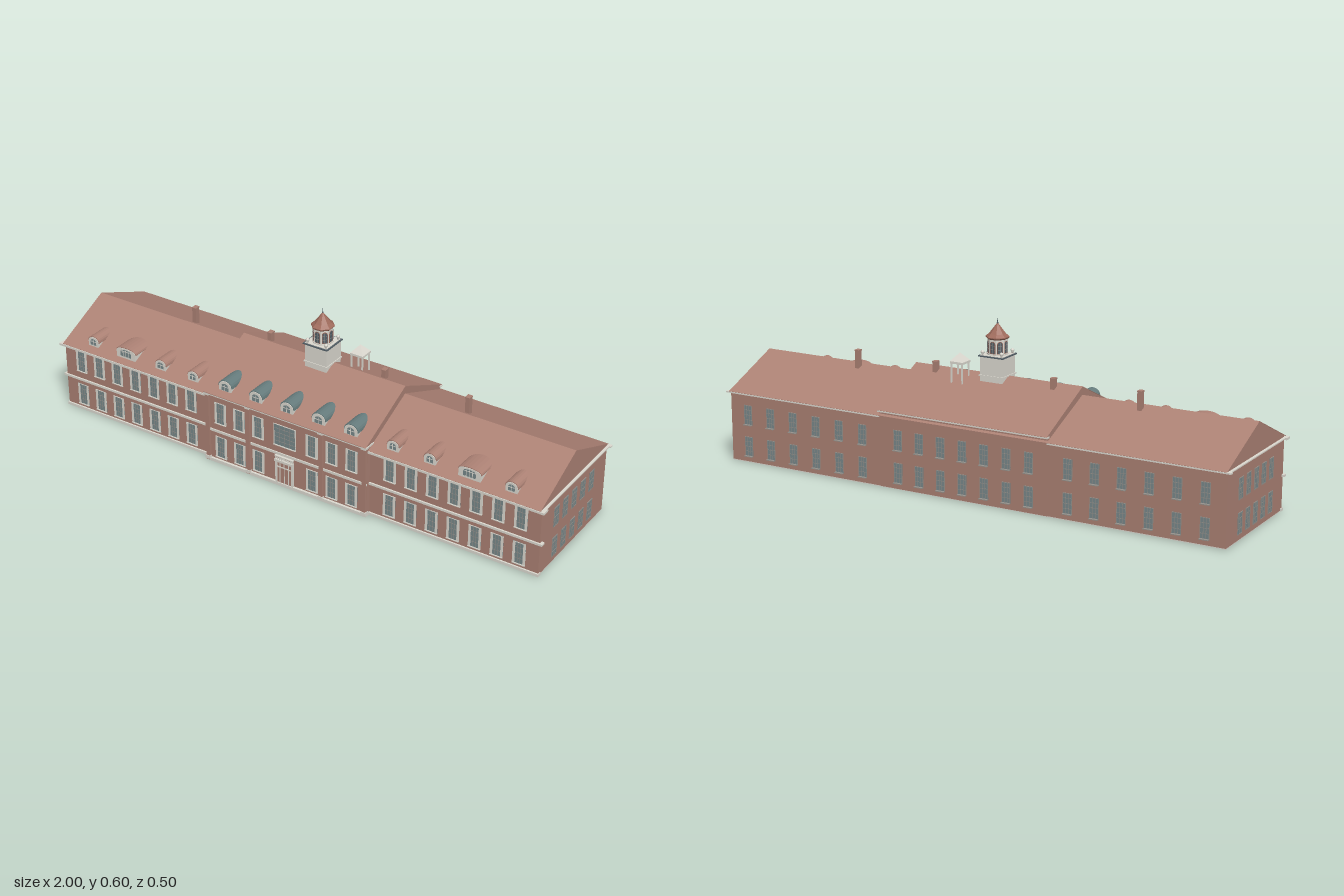
import * as THREE from 'three';
import { mergeGeometries } from 'three/addons/utils/BufferGeometryUtils.js';

const mat = (name, color) => Object.assign(new THREE.MeshStandardMaterial({ color }), { name });

export function createModel() {
  const M = {
    brick: mat('brick', 0xaa8073),
    roof: mat('roof tile', 0xad8275),
    trim: mat('stone trim', 0xdbd8cf),
    glass: mat('window glass', 0x778789),
    muntin: mat('window bars', 0x96928c),
    slate: mat('dormer slate', 0x667c7d),
    copper: mat('cupola roof', 0xa06c5d),
    iron: mat('dark metal', 0x535f67),
  };
  const model = new THREE.Group();
  const add = (name, geo, m, parent = model) => {
    const mesh = new THREE.Mesh(geo, m);
    mesh.name = name;
    parent.add(mesh);
    return mesh;
  };
  // box geometry from its minimum and maximum corners
  const box = (x0, x1, y0, y1, z0, z1) =>
    new THREE.BoxGeometry(x1 - x0, y1 - y0, z1 - z0).translate((x0 + x1) / 2, (y0 + y1) / 2, (z0 + z1) / 2);
  // profile of [z, y] points swept along x
  const sweepX = (pts, x0, x1) =>
    new THREE.ExtrudeGeometry(new THREE.Shape(pts.map(([z, y]) => new THREE.Vector2(-z, y))),
      { depth: x1 - x0, bevelEnabled: false }).rotateY(Math.PI / 2).translate(x0, 0, 0);

  // gabled blocks: the walls rise into a thin roof skin with overhanging eaves
  const block = (name, half, front, back, eave, ridge) => {
    const f = front + 0.013, b = back - 0.011, t = 0.002;
    const under = (z, edge) => ridge - t - (ridge - eave) * z / edge + 0.0005;
    add(name + 'Walls', sweepX([[front, 0.002], [front, under(front, f)], [0, ridge - t + 0.0005],
      [back, under(back, b)], [back, 0.002]], -half, half), M.brick);
    add(name + 'Roof', sweepX([[f, eave], [0, ridge], [b, eave], [b, eave - t], [0, ridge - t], [f, eave - t]],
      -half - 0.001, half + 0.001), M.roof);
  };
  block('wing', 0.985, 0.22, -0.24, 0.262, 0.369);
  block('centre', 0.335, 0.237, -0.2405, 0.281, 0.399);

  // plinth, string course, gutters and gable lines
  const stone = [
    box(-0.985, 0.985, 0, 0.003, -0.24, 0.22),
    box(-0.336, 0.336, 0, 0.012, 0.2, 0.246),
    box(-0.335, 0.335, 0.123, 0.132, 0.2, 0.241),
    box(-0.338, 0.338, 0.274, 0.28, 0.2, 0.249),
    box(-0.338, 0.338, 0.275, 0.28, -0.252, -0.235),
  ];
  for (const s of [-1, 1]) {
    const span = (a, b, ...r) => stone.push(s > 0 ? box(a, b, ...r) : box(-b, -a, ...r));
    span(0.335, 0.988, 0, 0.01, 0.208, 0.226);
    span(0.335, 0.995, 0.123, 0.131, 0.208, 0.226);
    span(0.335, 1, 0.253, 0.261, 0.208, 0.236);
    span(0.335, 1, 0.256, 0.261, -0.252, -0.238);
    span(0.98, 0.995, 0.257, 0.261, -0.25, 0.234);
  }
  add('stoneCourses', mergeGeometries(stone), M.trim);

  // brick pilasters with stone feet and caps
  for (const x of [-0.326, -0.152, 0.152, 0.326]) {
    add('pilaster', box(x - 0.008, x + 0.008, 0.002, 0.274, 0.23, 0.246), M.brick);
    add('pilasterFoot', box(x - 0.01, x + 0.01, 0.006, 0.018, 0.23, 0.249), M.trim);
    add('pilasterCap', box(x - 0.01, x + 0.01, 0.27, 0.28, 0.23, 0.25), M.trim);
  }

  // window: glass, jambs with sill, and glazing bars, standing on local y = 0 and facing +z
  const makeWindow = (w, h, cols, rows, jamb, jambMat, sill) => {
    const iw = w - 2 * jamb;
    const sides = [
      box(-w / 2, -w / 2 + jamb, 0, h, -0.001, 0.0025), box(w / 2 - jamb, w / 2, 0, h, -0.001, 0.0025),
      box(-w / 2, w / 2, h - 0.002, h, -0.001, 0.0025),
      box(-w / 2, w / 2, -0.002, 0.001, -0.002, sill),
    ];
    const bars = [];
    for (let i = 1; i < cols; i++) {
      const x = -iw / 2 + iw * i / cols;
      bars.push(box(x - 0.0008, x + 0.0008, 0, h, 0, 0.002));
    }
    for (let j = 1; j < rows; j++)
      bars.push(box(-iw / 2, iw / 2, h * j / rows - 0.0008, h * j / rows + 0.0008, 0, 0.002));
    const pane = box(-w / 2, w / 2, 0, h, -0.002, 0.0014);
    const frame = mergeGeometries(sides), grid = mergeGeometries(bars);
    return (x, y, z, turn = 0) => {
      const g = new THREE.Group();
      g.name = 'window';
      add('windowGlass', pane, M.glass, g);
      add('windowFrame', frame, jambMat, g);
      add('windowBars', grid, M.muntin, g);
      g.position.set(x, y, z);
      g.rotation.y = turn;
      model.add(g);
    };
  };
  const frontWindow = makeWindow(0.048, 0.084, 3, 4, 0.009, M.trim, 0.005);
  const plainWindow = makeWindow(0.034, 0.073, 3, 4, 0.0015, M.muntin, 0.002);
  const backWindow = makeWindow(0.034, 0.073, 3, 4, 0.0015, M.muntin, 0.011);
  const wideWindow = makeWindow(0.092, 0.084, 4, 5, 0.003, M.trim, 0.005);

  for (const s of [-1, 1]) {
    for (const y of [0.022, 0.161]) {
      for (let i = 0; i < 7; i++) frontWindow(s * (0.414 + i * 0.083), y, 0.22);
      for (let i = 0; i < 3; i++) frontWindow(s * (0.112 + i * 0.0805), y, 0.237);
    }
    for (const y of [0.024, 0.143]) {
      for (let i = 0; i < 5; i++) plainWindow(s * 0.985, y, 0.115 - i * 0.0625, s * Math.PI / 2);
      for (let i = 0; i < 6; i++) backWindow(s * (0.41 + i * 0.1), y, -0.24, Math.PI);
    }
  }
  for (const y of [0.024, 0.143])
    for (let i = -3; i <= 3; i++) backWindow(i * 0.087, y, -0.2405, Math.PI);
  wideWindow(0, 0.161, 0.237);

  // entrance: door leaves, surround and a small balustrade above
  add('doorLeaves', box(-0.03, 0.03, 0.005, 0.098, 0.23, 0.242), M.brick);
  const porch = [box(-0.038, 0.038, 0.098, 0.107, 0.23, 0.249), box(-0.038, 0.038, 0.118, 0.121, 0.238, 0.247),
    box(-0.0012, 0.0012, 0.005, 0.098, 0.24, 0.244), box(-0.03, 0.03, 0.074, 0.078, 0.24, 0.244)];
  for (const x of [-0.033, -0.018, 0.018, 0.033]) {
    const r = Math.abs(x) > 0.02 ? 0.004 : 0.001;
    porch.push(box(x - r, x + r, 0.002, 0.1, 0.235, 0.245));
  }
  for (let i = -4; i <= 4; i++) porch.push(box(i * 0.0088 - 0.0015, i * 0.0088 + 0.0015, 0.105, 0.12, 0.24, 0.246));
  add('doorSurround', mergeGeometries(porch), M.trim);

  // arched dormers, running back into the roof slope
  const archShape = (w, low, side, rise) => {
    const s = new THREE.Shape().moveTo(-w / 2, low).lineTo(w / 2, low).lineTo(w / 2, side);
    for (let i = 1; i <= 10; i++) {
      const a = Math.PI * i / 10;
      s.lineTo(Math.cos(a) * w / 2, side + Math.sin(a) * rise);
    }
    return s;
  };
  const ext = (shape, z0, z1) =>
    new THREE.ExtrudeGeometry(shape, { depth: z1 - z0, bevelEnabled: false }).translate(0, 0, z0);
  const dormer = (x, y, z, w, side, rise, skinMat, cols) => {
    const g = new THREE.Group();
    g.name = 'dormer';
    add('dormerBody', ext(archShape(w, -0.01, side, rise), -0.07, 0), M.trim, g);
    add('dormerRoof', ext(archShape(w + 0.006, side - 0.003, side, rise + 0.003), -0.1, -0.002), skinMat, g);
    add('dormerGlass', ext(archShape(w * 0.56, 0.007, side, rise * 0.55), -0.002, 0.001), M.glass, g);
    const bars = [box(-w * 0.28, w * 0.28, side - 0.001, side + 0.001, 0, 0.002)];
    for (let i = 1; i < cols; i++) {
      const bx = w * 0.56 * (i / cols - 0.5);
      bars.push(box(bx - 0.001, bx + 0.001, 0.007, side + rise * 0.4, 0, 0.002));
    }
    add('dormerBars', mergeGeometries(bars), M.trim, g);
    g.position.set(x, y, z);
    model.add(g);
  };
  for (let i = -2; i <= 2; i++) dormer(i * 0.13, 0.288, 0.224, 0.052, 0.023, 0.021, M.slate, 2);
  for (const s of [-1, 1]) {
    for (const x of [0.414, 0.557, 0.863]) dormer(s * x, 0.274, 0.205, 0.044, 0.021, 0.017, M.roof, 2);
    dormer(s * 0.71, 0.274, 0.209, 0.084, 0.027, 0.012, M.roof, 4);
  }

  // chimneys
  for (const x of [-0.568, -0.237, 0.237, 0.568]) {
    add('chimney', box(x - 0.008, x + 0.008, 0.34, 0.417, -0.036, -0.016), M.brick);
    add('chimneyCap', box(x - 0.009, x + 0.009, 0.417, 0.422, -0.037, -0.015), M.brick);
  }

  // cupola: square base, octagonal lantern, flared roof and spire
  const cupola = new THREE.Group();
  cupola.name = 'cupola';
  model.add(cupola);
  add('cupolaBase', mergeGeometries([box(-0.045, 0.045, 0.36, 0.472, -0.045, 0.045),
    box(-0.048, 0.048, 0.396, 0.401, -0.048, 0.048)]), M.trim, cupola);
  add('cupolaCornice', box(-0.05, 0.05, 0.466, 0.47, -0.05, 0.05), M.iron, cupola);
  const oct = (r0, r1, y0, y1) => {
    const g = new THREE.CylinderGeometry(r1, r0, y1 - y0, 8).toNonIndexed();
    g.rotateY(Math.PI / 8).translate(0, (y0 + y1) / 2, 0).computeVertexNormals();
    return g;
  };
  add('lanternWalls', oct(0.036, 0.036, 0.47, 0.53), M.trim, cupola);
  add('lanternFoot', oct(0.039, 0.039, 0.47, 0.476), M.trim, cupola);
  add('lanternEave', mergeGeometries([oct(0.037, 0.042, 0.527, 0.532), oct(0.042, 0.042, 0.532, 0.535)]), M.copper, cupola);
  for (let i = 0; i < 8; i++) {
    const face = new THREE.Group();
    face.name = 'lanternWindow';
    face.rotation.y = i * Math.PI / 4;
    add('lanternFrame', ext(archShape(0.021, 0.477, 0.511, 0.01), 0.03, 0.0345), M.copper, face);
    add('lanternGlass', ext(archShape(0.017, 0.479, 0.511, 0.008), 0.03, 0.0352), M.iron, face);
    add('lanternBars', mergeGeometries([box(-0.0007, 0.0007, 0.479, 0.518, 0.03, 0.0358),
      box(-0.008, 0.008, 0.492, 0.4932, 0.03, 0.0358), box(-0.008, 0.008, 0.506, 0.5072, 0.03, 0.0358)]), M.muntin, face);
    cupola.add(face);
  }
  add('cupolaRoof', mergeGeometries([oct(0.042, 0.03, 0.535, 0.545), oct(0.03, 0.015, 0.545, 0.564),
    oct(0.015, 0.003, 0.564, 0.58)]), M.copper, cupola);
  add('spire', new THREE.CylinderGeometry(0.0008, 0.002, 0.022, 8).translate(0, 0.587, 0), M.iron, cupola);
  add('spireBall', new THREE.SphereGeometry(0.003, 10, 8).translate(0, 0.583, 0), M.iron, cupola);
  const urn = new THREE.LatheGeometry([[0, 0], [0.005, 0], [0.003, 0.004], [0.007, 0.009], [0.006, 0.014], [0, 0.018]]
    .map(([x, y]) => new THREE.Vector2(x, y)), 10);
  for (const x of [-1, 1]) for (const z of [-1, 1])
    add('cornerUrn', urn, M.trim, cupola).position.set(x * 0.038, 0.471, z * 0.038);

  // small open canopy on four posts behind the ridge
  const cx = 0.123, cz = -0.049, canopy = [box(cx - 0.026, cx + 0.026, 0.434, 0.442, cz - 0.026, cz + 0.026)];
  for (const x of [-1, 1]) for (const z of [-1, 1]) {
    const px = cx + x * 0.022, pz = cz + z * 0.022;
    canopy.push(box(px - 0.0025, px + 0.0025, 0.364, 0.437, pz - 0.0025, pz + 0.0025));
  }
  const cap = new THREE.ConeGeometry(0.037, 0.029, 4).toNonIndexed().rotateY(Math.PI / 4).translate(cx, 0.4565, cz);
  cap.computeVertexNormals();
  add('canopyRoof', cap, M.trim);
  add('canopyPosts', mergeGeometries(canopy), M.trim);

  return model;
}
